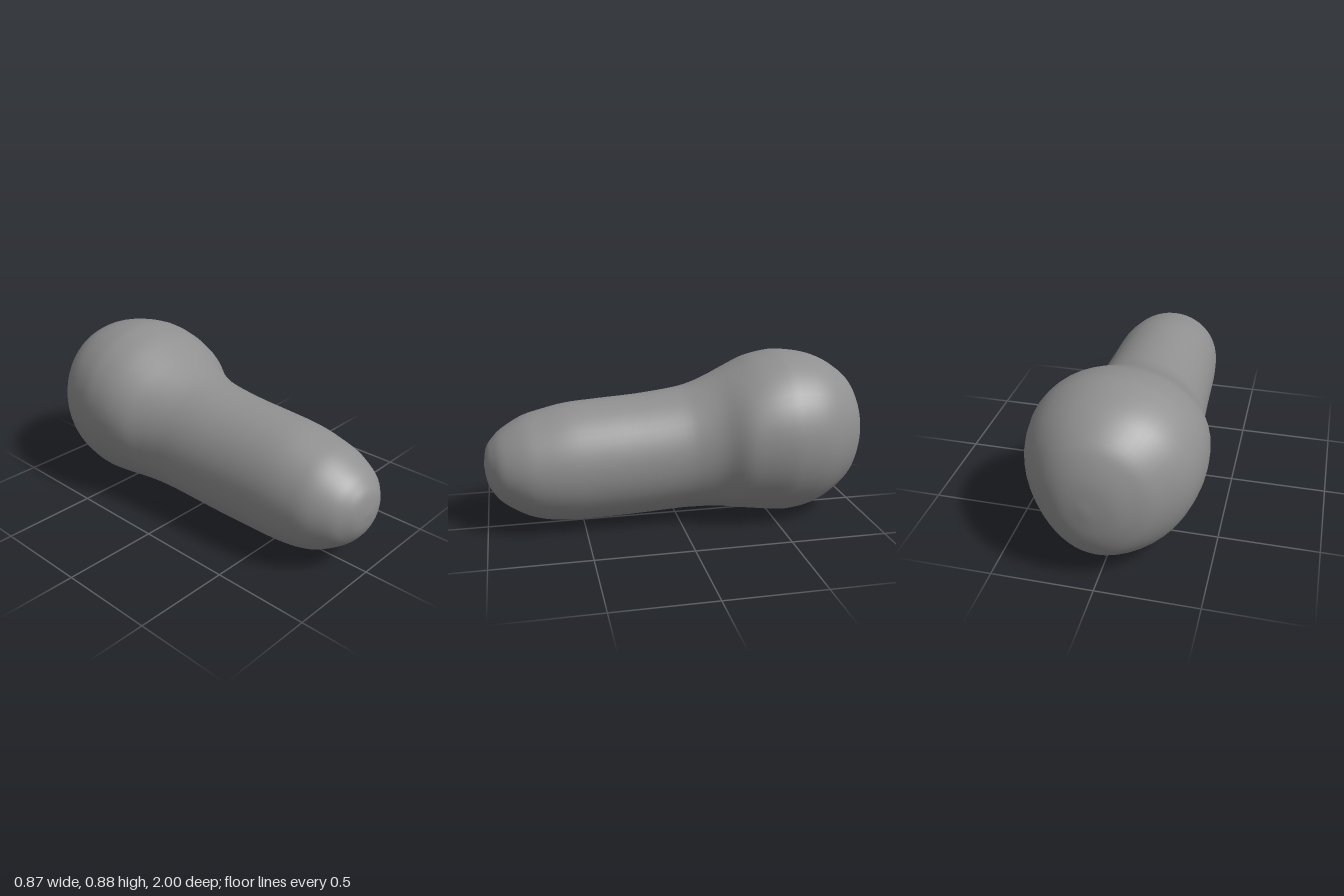
import * as THREE from 'three';
import { mergeVertices } from 'three/addons/utils/BufferGeometryUtils.js';

// Cross-sections from the front tip to the back: z, top, bottom, right side x, left side x
const SECTIONS = [
  [1.0, 0.34, 0.34, -0.015, -0.015],
  [0.985, 0.43, 0.25, -0.105, 0.08],
  [0.95, 0.482, 0.185, -0.165, 0.145],
  [0.9, 0.527, 0.135, -0.217, 0.2],
  [0.8, 0.584, 0.073, -0.27, 0.25],
  [0.7, 0.614, 0.04, -0.29, 0.272],
  [0.57, 0.642, 0.025, -0.302, 0.284],
  [0.4, 0.655, 0.025, -0.31, 0.285],
  [0.2, 0.667, 0.03, -0.32, 0.286],
  [0.0, 0.69, 0.04, -0.333, 0.293],
  [-0.1, 0.715, 0.042, -0.343, 0.309],
  [-0.2, 0.755, 0.042, -0.367, 0.342],
  [-0.3, 0.803, 0.035, -0.405, 0.403],
  [-0.4, 0.847, 0.02, -0.428, 0.425],
  [-0.5, 0.87, 0.006, -0.436, 0.435],
  [-0.58, 0.875, 0.001, -0.432, 0.432],
  [-0.7, 0.857, 0.018, -0.407, 0.407],
  [-0.8, 0.82, 0.06, -0.357, 0.358],
  [-0.9, 0.75, 0.13, -0.265, 0.28],
  [-0.95, 0.68, 0.2, -0.185, 0.22],
  [-0.985, 0.58, 0.3, -0.095, 0.145],
  [-1.0, 0.445, 0.445, 0.03, 0.03],
];

// Smooth curve through two columns of the table, sharing the same z
const guide = (a, b) => new THREE.CatmullRomCurve3(
  SECTIONS.map((s) => new THREE.Vector3(s[a], s[b], s[0])), false, 'catmullrom', 0.5);

// Loft rounded rings along the guides
function loft(rings, sides) {
  const heights = guide(1, 2), widths = guide(3, 4);
  const positions = [], index = [];
  for (let i = 0; i <= rings; i++) {
    const h = heights.getPoint(i / rings), w = widths.getPoint(i / rings);
    const halfWidth = (w.y - w.x) / 2;
    // the head is widest a little above its middle
    const lift = 0.07 * halfWidth * THREE.MathUtils.smoothstep(-h.z, 0, 0.5);
    for (let j = 0; j < sides; j++) {
      const a = (j / sides) * Math.PI * 2;
      positions.push(
        (w.x + w.y) / 2 + Math.cos(a) * halfWidth,
        (h.x + h.y) / 2 + Math.sin(a) * (h.x - h.y) / 2 + lift * Math.cos(a) ** 2,
        h.z);
      if (i === rings) continue;
      const k = (j + 1) % sides, p = i * sides, q = p + sides;
      // the tips close to a point, so skip the collapsed half of each quad
      if (i < rings - 1) index.push(p + j, q + j, q + k);
      if (i > 0) index.push(p + j, q + k, p + k);
      else if (rings === 1) continue;
    }
  }
  let geometry = new THREE.BufferGeometry();
  geometry.setAttribute('position', new THREE.Float32BufferAttribute(positions, 3));
  geometry.setIndex(index);
  geometry = mergeVertices(geometry, 1e-5);
  geometry.computeVertexNormals();
  return geometry;
}

export function createModel() {
  const group = new THREE.Group();
  group.name = 'roundedClub';
  // One continuous skin: slim rounded shaft swelling into a bulbous head
  const body = new THREE.Mesh(loft(84, 48), new THREE.MeshStandardMaterial({ color: 0x909090 }));
  body.name = 'shaftAndHead';
  group.add(body);
  return group;
}
